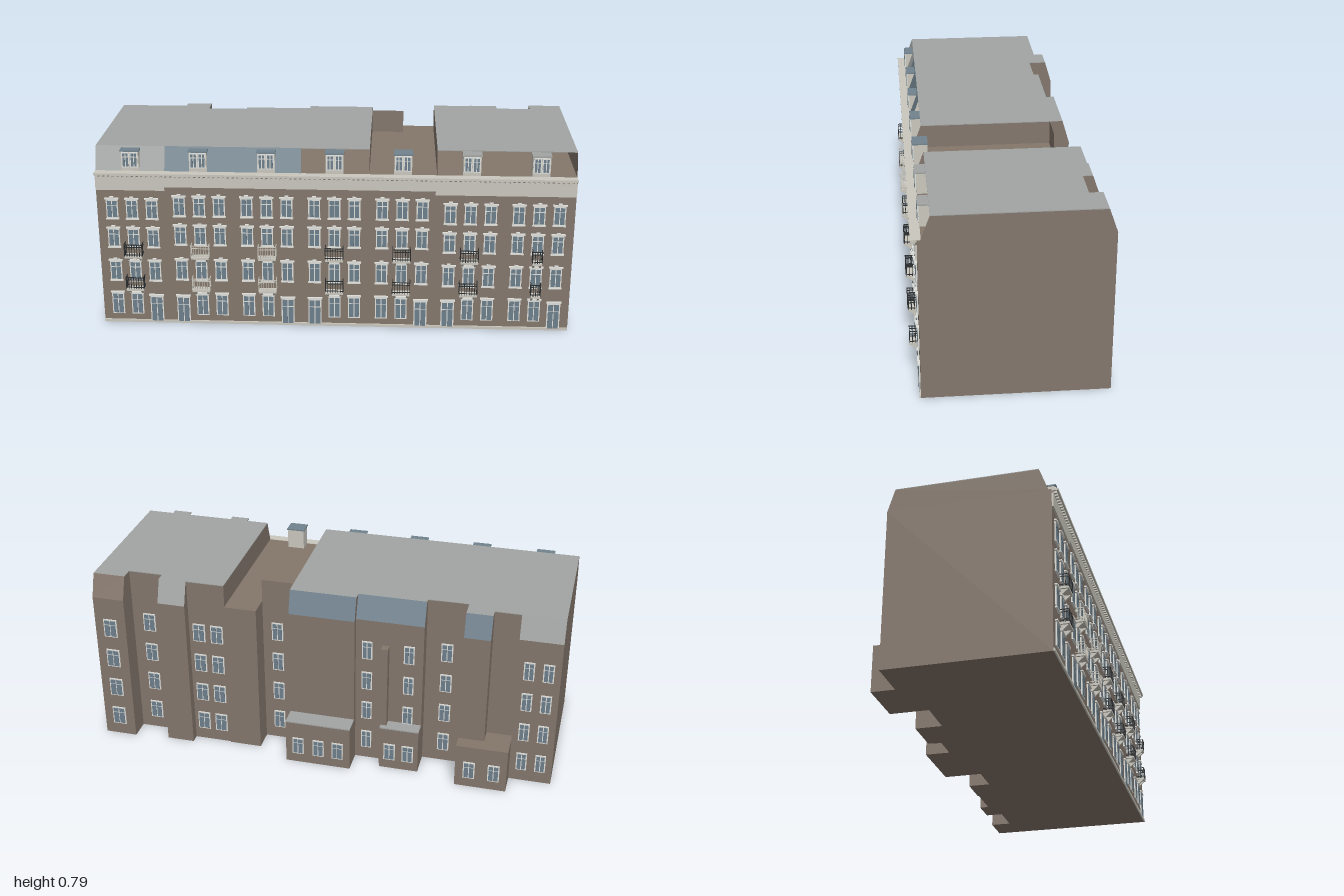
import * as THREE from 'three';
import { mergeGeometries } from 'three/addons/utils/BufferGeometryUtils.js';

const mat = (name, color) => {
  const m = new THREE.MeshStandardMaterial({ color });
  m.name = name;
  return m;
};
const M = {
  brick: mat('brown brick', 0x84776c),
  grey: mat('roof grey', 0xa1a4a2),
  slate: mat('blue slate', 0x72838e),
  stone: mat('pale stone', 0xc9c7bd),
  white: mat('white paint', 0xdedfda),
  glass: mat('window glass', 0x6d7f8b),
  iron: mat('black iron', 0x2a2d2f),
};

const FRONT = 0.365, EAVE = 0.69, TOP = 0.79, RIDGE = 0.315, FOOT = 0.352;

// Back bays from right to left: x0, x1, back z, mansard inset, face colour, inner colour
const BAYS = [
  [-1, -0.82, -0.3, 0.03, 'grey', 'grey'],
  [-0.82, -0.71, -0.27, 0, 'brick', 'brick'],
  [-0.71, -0.6, -0.34, 0.03, 'slate', 'slate'],
  [-0.6, -0.43, -0.235, 0, 'brick', 'brick'],
  [-0.43, -0.14, -0.294, 0.037, 'slate', 'slate'],
  [-0.14, 0.145, -0.32, 0.03, 'slate', 'slate'],
  [0.145, 0.285, -0.235, 0, 'brick', 'brick'],
  [0.285, 0.425, -0.33, 0, null, null],
  [0.425, 0.59, -0.325, 0, 'brick', 'brick'],
  [0.59, 0.71, -0.365, 0.035, 'grey', 'brick'],
  [0.71, 0.86, -0.29, 0, 'brick', 'brick'],
  [0.86, 1, -0.38, 0.035, 'brick', null],
];

export function createModel() {
  const group = new THREE.Group();
  const parts = new Map();

  // Collects geometry by part name and colour, merged into one mesh each at the end
  function add(name, m, geo) {
    const g = geo.index ? geo.toNonIndexed() : geo;
    g.deleteAttribute('uv');
    const key = name + m;
    if (!parts.has(key)) parts.set(key, { name, m, list: [] });
    parts.get(key).list.push(g);
  }
  function box(name, m, x0, x1, y0, y1, z0, z1) {
    const g = new THREE.BoxGeometry(x1 - x0, y1 - y0, Math.abs(z1 - z0));
    add(name, m, g.translate((x0 + x1) / 2, (y0 + y1) / 2, (z0 + z1) / 2));
  }
  // Flat four-cornered face, with an optional colour for its reverse
  function quad(name, pts, front, back) {
    const face = (m, order) => {
      const g = new THREE.BufferGeometry();
      const p = order.flatMap(i => pts[i]);
      g.setAttribute('position', new THREE.Float32BufferAttribute(p, 3));
      g.computeVertexNormals();
      add(name, m, g);
    };
    if (front) face(front, [0, 1, 2, 0, 2, 3]);
    if (back) face(back, [0, 2, 1, 0, 3, 2]);
  }
  // Plan outline extruded upward
  function prism(name, m, plan, y, h) {
    const s = new THREE.Shape(plan.map(([x, z]) => new THREE.Vector2(x, -z)));
    const g = new THREE.ExtrudeGeometry(s, { depth: h, bevelEnabled: false });
    add(name, m, g.rotateX(-Math.PI / 2).translate(0, y, 0));
  }
  const backLine = (bays, inset) => bays.flatMap(([x0, x1, z, i]) =>
    [[x0, z + inset * i], [x1, z + inset * i]]);

  // Main block up to the eaves
  prism('mainBlock', 'brick', [[1, FRONT], [-1, FRONT], ...backLine(BAYS, 0)], 0, EAVE);

  // Flat roofs on either side of the open gap
  const roof = bays => prism('flatRoof', 'grey',
    [[bays.at(-1)[1], RIDGE], [bays[0][0], RIDGE], ...backLine(bays, 1)], TOP - 0.003, 0.003);
  roof(BAYS.slice(0, 6));
  roof(BAYS.slice(8));

  // Rear attic walls and mansard slopes, with returns between bays
  BAYS.forEach(([x0, x1, z, inset, face, inner], i) => {
    if (face) quad('rearAttic', [[x1, EAVE, z], [x0, EAVE, z], [x0, TOP, z + inset], [x1, TOP, z + inset]], face, inner);
    const next = BAYS[i + 1];
    if (!next || !face || !next[4] || i === 5) return;
    const [, , zn, insetN] = next;
    quad('atticReturn', [[x1, EAVE, z], [x1, TOP, z + inset], [x1, TOP, zn + insetN], [x1, EAVE, zn]], 'brick', 'brick');
  });

  // Gable walls at both ends and beside the gap
  for (const [x, i] of [[-1, 0], [0.145, 5], [0.425, 8], [1, 11]]) {
    const [, , z, inset] = BAYS[i];
    quad('gableWall', [[x, EAVE, FOOT], [x, EAVE, z], [x, TOP, z + inset], [x, TOP, RIDGE]], 'brick', 'brick');
  }

  // Front mansard slopes
  for (const [x0, x1, m] of [[-1, -0.71, 'grey'], [-0.71, -0.14, 'slate']])
    quad('frontMansard', [[x0, EAVE, FOOT], [x1, EAVE, FOOT], [x1, TOP, RIDGE], [x0, TOP, RIDGE]], m, m);

  // Low rear extensions and the narrow shaft
  box('rearExtension', 'brick', -0.82, -0.6, 0, 0.2, -0.4, -0.26);
  box('rearExtension', 'brick', -0.43, -0.26, 0, 0.2, -0.35, -0.28);
  box('rearExtension', 'brick', -0.14, 0.145, 0, 0.2, -0.4, -0.31);
  box('extensionRoof', 'grey', -0.43, -0.26, 0.2, 0.205, -0.352, -0.29);
  box('extensionRoof', 'grey', -0.14, 0.145, 0.2, 0.205, -0.402, -0.315);
  box('rearShaft', 'brick', -0.285, -0.255, 0, 0.58, -0.33, -0.28);

  // Casement window: frame plate with four panes; dir is the way it faces
  function casement(name, x, y0, y1, z, w, dir) {
    const split = y0 + (y1 - y0) * 0.7, e = 0.005;
    box(name + 'Frame', 'white', x - w / 2, x + w / 2, y0, y1, z, z + dir * 0.005);
    for (const s of [-1, 1]) {
      const a = x + s * 0.002, b = x + s * (w / 2 - e);
      for (const [lo, hi] of [[y0 + e, split - 0.002], [split + 0.002, y1 - e]])
        box(name + 'Glass', 'glass', Math.min(a, b), Math.max(a, b), lo, hi, z, z + dir * 0.007);
    }
  }

  // Balcony with slab, brackets and railing
  function balcony(x, y, w, m) {
    const z0 = FRONT, z1 = 0.402, h = w / 2;
    box('balconySlab', 'stone', x - h, x + h, y - 0.009, y, z0, z1);
    for (const s of [-1, 1]) {
      const tri = new THREE.Shape([[0.365, -0.03], [0.375, -0.03], [0.398, -0.009], [0.365, -0.009]]
        .map(p => new THREE.Vector2(...p)));
      const g = new THREE.ExtrudeGeometry(tri, { depth: 0.008, bevelEnabled: false });
      add('balconyBracket', 'stone', g.rotateY(-Math.PI / 2).translate(x + s * h * 0.7 + 0.004, y, 0));
    }
    for (const r of [0.006, 0.04, 0.051]) {
      box('balconyRail', m, x - h, x + h, y + r, y + r + 0.003, z1 - 0.003, z1);
      for (const s of [-1, 1])
        box('balconyRail', m, x + s * h - 0.0015, x + s * h + 0.0015, y + r, y + r + 0.003, z0, z1);
    }
    const n = Math.max(3, Math.round(w / 0.011));
    for (let i = 0; i <= n; i++) {
      const bx = x - h + (w * i) / n;
      box('balconyBar', m, bx - 0.0013, bx + 0.0013, y, y + 0.053, z1 - 0.003, z1);
    }
    for (const s of [-1, 1]) for (const z of [0.376, 0.388])
      box('balconyBar', m, x + s * h - 0.0013, x + s * h + 0.0013, y, y + 0.053, z, z + 0.0026);
  }

  // Front facade: seven groups of three window columns
  for (let g = 0; g < 7; g++) {
    const cx = (g - 3) * 0.284, doorSide = g % 2 ? -1 : 1;
    const lift = g > 0 && g < 5 ? 0.015 : 0;
    for (const c of [-1, 0, 1]) {
      const x = cx + c * 0.084;
      if (c === doorSide) {
        casement('door', x, 0.005, 0.125, FRONT, 0.056, 1);
        box('doorHood', 'white', x - 0.032, x + 0.032, 0.127, 0.134, FRONT, FRONT + 0.01);
      } else {
        casement('frontWindow', x, 0.04, 0.138, FRONT, 0.052, 1);
        box('windowHood', 'white', x - 0.03, x + 0.03, 0.14, 0.146, FRONT, FRONT + 0.01);
      }
      for (const [lo, hi] of [[0.2, 0.288], [0.355, 0.437], [0.485, 0.568]]) {
        const d = lo > 0.3 ? lift : lift / 2;
        casement('frontWindow', x, lo + d, hi + d, FRONT, 0.05, 1);
        box('windowHood', 'white', x - 0.03, x + 0.03, hi + d + 0.002, hi + d + 0.008, FRONT, FRONT + 0.01);
        box('windowKeystone', 'white', x - 0.008, x + 0.008, hi + d + 0.006, hi + d + 0.014, FRONT, FRONT + 0.01);
        box('windowSill', 'white', x - 0.028, x + 0.028, lo + d - 0.005, lo + d, FRONT, FRONT + 0.009);
      }
    }
    const m = g === 1 || g === 2 ? 'stone' : 'iron';
    for (const y of [0.172, 0.323]) balcony(cx, y, g === 6 ? 0.04 : 0.075, m);

    // Roof dormer
    box('dormerBody', 'stone', cx - 0.037, cx + 0.037, EAVE, 0.777, 0.295, 0.352);
    box('dormerRoof', g < 5 ? 'slate' : 'grey', cx - 0.04, cx + 0.04, 0.777, 0.783, 0.293, 0.358);
    for (const s of [-1, 1])
      casement('dormerWindow', cx + s * 0.0175, 0.708, 0.774, 0.352, 0.033, 1);
  }

  // Frieze, cornice with dentils, and plinth
  for (const [x0, x1, y] of [[-1, -0.71, 0.612], [-0.71, 0.42, 0.628], [0.42, 1, 0.612]])
    box('frieze', 'stone', x0, x1, y, 0.672, FRONT, FRONT + 0.007);
  box('cornice', 'stone', -1, 1, 0.682, 0.692, 0.35, 0.39);
  box('corniceShadowBand', 'brick', -1, 1, 0.672, 0.682, FRONT, FRONT + 0.006);
  for (let i = 0; i < 100; i++) {
    const x = -0.99 + i * 0.02;
    box('dentil', 'stone', x - 0.005, x + 0.005, 0.672, 0.682, FRONT, 0.384);
  }
  box('plinth', 'stone', -1, 1, 0, 0.012, FRONT, FRONT + 0.006);

  // Rear windows: column x, wall z, width, first storey shown
  const REAR = [
    [-0.95, -0.3, 0.045, 0], [-0.87, -0.3, 0.045, 0], [-0.52, -0.235, 0.05, 0],
    [-0.37, -0.294, 0.045, 1], [-0.19, -0.294, 0.045, 0], [0.22, -0.235, 0.05, 0],
    [0.465, -0.325, 0.055, 0], [0.545, -0.325, 0.055, 0], [0.785, -0.29, 0.055, 0],
    [0.93, -0.38, 0.06, 0],
  ];
  for (const [x, z, w, first] of REAR)
    for (let f = first; f < 4; f++)
      casement('rearWindow', x, 0.055 + f * 0.15, 0.14 + f * 0.15, z, w, -1);
  for (const [x, z] of [[-0.765, -0.4], [-0.66, -0.4], [-0.385, -0.35], [-0.305, -0.35],
    [-0.085, -0.4], [0.0, -0.4], [0.09, -0.4]])
    casement('extensionWindow', x, 0.045, 0.125, z, 0.05, -1);

  for (const { name, m, list } of parts.values()) {
    const mesh = new THREE.Mesh(mergeGeometries(list), M[m]);
    mesh.name = name;
    group.add(mesh);
  }
  group.name = 'terraceBuilding';
  return group;
}
